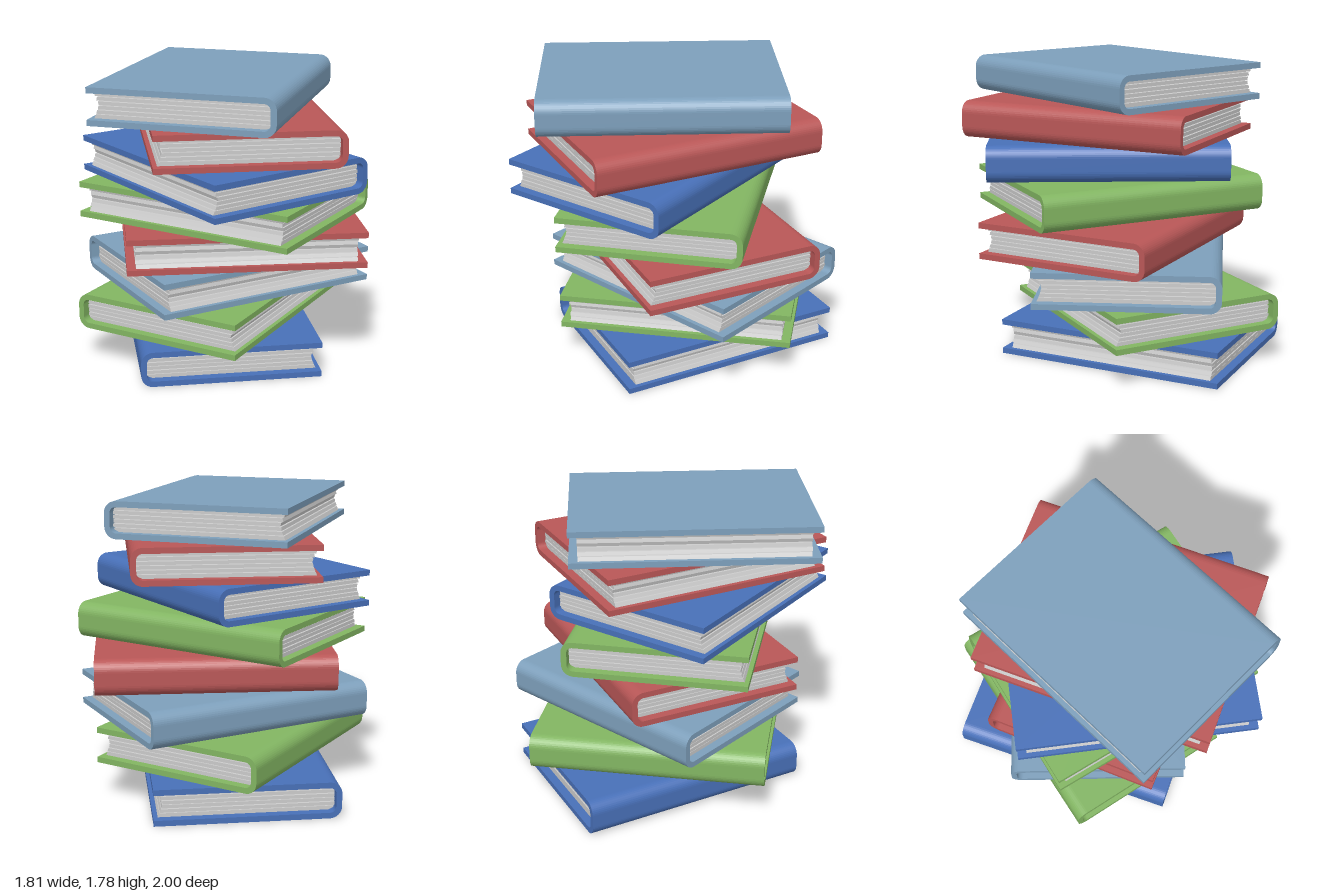
import * as THREE from 'three';

const W = 1.08, L = 1.41, H = 0.2175; // cover width, spine length, thickness
const PITCH = 0.2232, T = 0.034;      // stacking step, board thickness
const R = 0.07, RI = R - T;           // outer and inner spine corner radius
const HALF = H / 2 - T;               // half height of the page block

const BLUE = 0x4870b8, GREEN = 0x82b562, SKY = 0x7d9fbb, RED = 0xb95757;

// bottom to top: colour, x, z, turn in degrees
const BOOKS = [
  [BLUE, -0.03, -0.125, 180],
  [GREEN, -0.048, -0.11, 142.5],
  [SKY, 0.035, -0.095, 110.6],
  [RED, 0.0925, -0.005, 87.6],
  [GREEN, 0.0125, 0.0325, 51],
  [BLUE, -0.0325, 0.125, 27],
  [RED, 0.055, 0.065, -1],
  [SKY, -0.05, 0.085, -24.9],
];

// fore-edge inset at the top and bottom of each bundle of pages, hollow in the middle
const INSETS = [[0.028, 0.034], [0.045, 0.04], [0.05, 0.056], [0.052, 0.048], [0.046, 0.038], [0.036, 0.026]];

function extrudeAlongZ(shape, length) {
  const g = new THREE.ExtrudeGeometry(shape, { depth: length, bevelEnabled: false, curveSegments: 5 });
  return g.translate(0, 0, -length / 2);
}

// C-shaped cover with its spine at +x
function coverGeometry() {
  const x0 = -W / 2, x1 = W / 2, h = H / 2;
  const s = new THREE.Shape();
  s.moveTo(x0, -h);
  s.lineTo(x1 - R, -h);
  s.absarc(x1 - R, -h + R, R, -Math.PI / 2, 0, false);
  s.absarc(x1 - R, h - R, R, 0, Math.PI / 2, false);
  s.lineTo(x0, h);
  s.lineTo(x0, HALF);
  s.absarc(x1 - R, h - R, RI, Math.PI / 2, 0, true);
  s.absarc(x1 - R, -h + R, RI, 0, -Math.PI / 2, true);
  s.lineTo(x0, -HALF);
  s.closePath();
  return extrudeAlongZ(s, L);
}

// x where the page block meets the rounded inside of the spine
function spineX(y) {
  const d = Math.max(0, Math.abs(y) - (HALF - RI));
  return W / 2 - R + Math.sqrt(Math.max(0, RI * RI - d * d));
}

function bundleGeometry(i) {
  const step = 2 * HALF / INSETS.length, gap = 0.0025;
  const top = HALF - i * step - (i > 0 ? gap : 0);
  const bottom = HALF - (i + 1) * step + (i < INSETS.length - 1 ? gap : 0);
  const mid = (top + bottom) / 2;
  const s = new THREE.Shape();
  s.moveTo(-W / 2 + INSETS[i][1], bottom);
  s.lineTo(spineX(bottom), bottom);
  s.lineTo(spineX(mid), mid);
  s.lineTo(spineX(top), top);
  s.lineTo(-W / 2 + INSETS[i][0], top);
  s.closePath();
  return extrudeAlongZ(s, L - 0.1 - (i % 2) * 0.006);
}

export function createModel() {
  const model = new THREE.Group();
  model.name = 'bookStack';
  const cover = coverGeometry();
  const bundles = INSETS.map((_, i) => bundleGeometry(i));
  const paper = new THREE.MeshStandardMaterial({ color: 0xcccccc });
  const cloth = new Map([BLUE, GREEN, SKY, RED].map(
    (color) => [color, new THREE.MeshStandardMaterial({ color })]));

  BOOKS.forEach(([color, x, z, turn], n) => {
    const book = new THREE.Group();
    book.name = `book${n + 1}`;
    const coverMesh = new THREE.Mesh(cover, cloth.get(color));
    coverMesh.name = 'cover';
    book.add(coverMesh);
    const pages = new THREE.Group();
    pages.name = 'pages';
    bundles.forEach((g, i) => {
      const bundle = new THREE.Mesh(g, paper);
      bundle.name = `pageBundle${i + 1}`;
      pages.add(bundle);
    });
    book.add(pages);
    book.position.set(x, H / 2 + n * PITCH, z);
    book.rotation.y = THREE.MathUtils.degToRad(turn);
    model.add(book);
  });
  return model;
}
